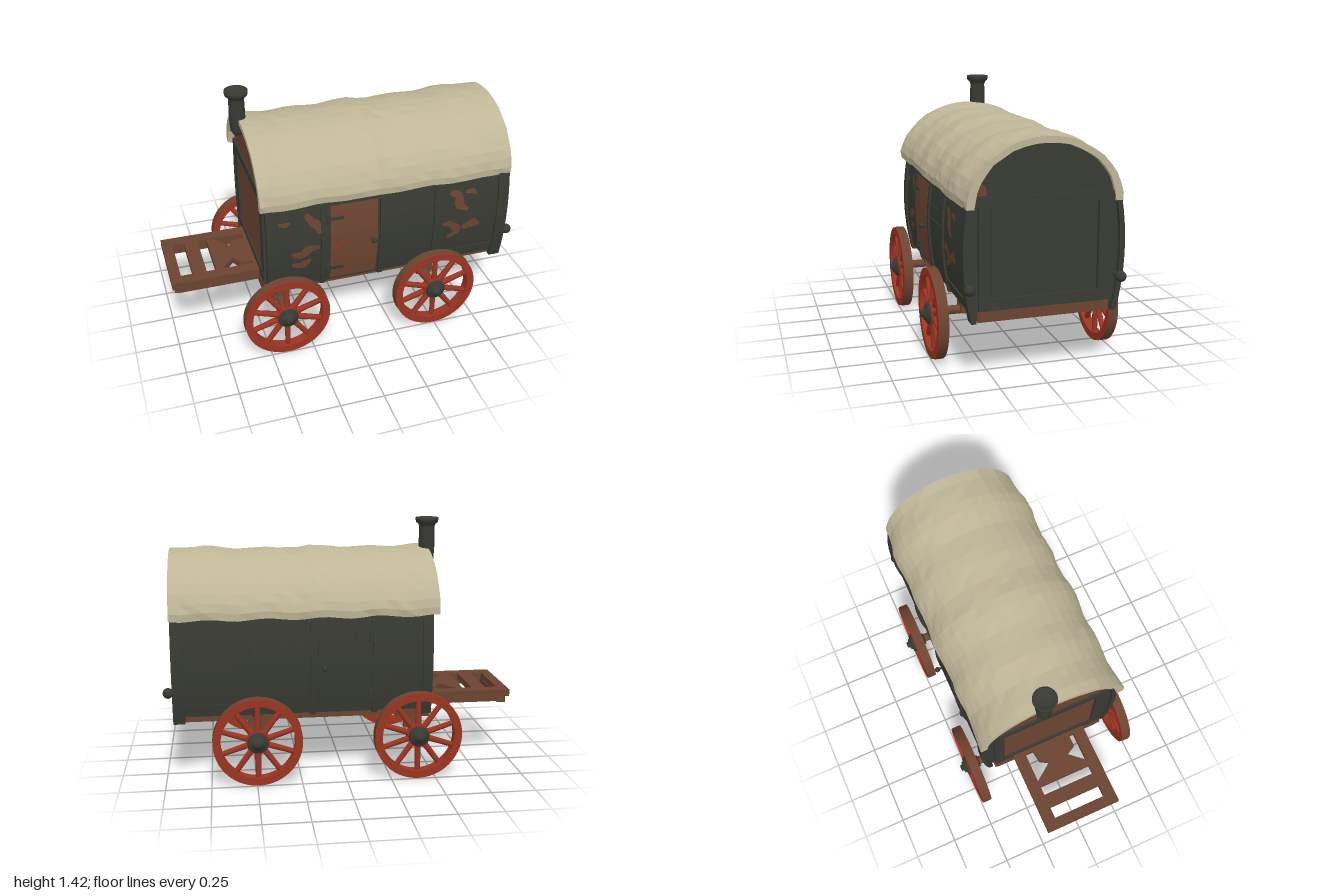
import * as THREE from 'three';

const mat = (name, color) => new THREE.MeshStandardMaterial({ name, color });

export function createModel() {
  const iron = mat('darkIron', 0x383a33), wood = mat('brownWood', 0x6c4431);
  const red = mat('redPaint', 0x9b3422), canvas = mat('canvas', 0xbfb697);
  canvas.side = THREE.DoubleSide;
  const model = new THREE.Group();
  model.name = 'wagon';

  const add = (name, geo, m, x = 0, y = 0, z = 0, parent = model) => {
    const mesh = new THREE.Mesh(geo, m);
    mesh.name = name;
    mesh.position.set(x, y, z);
    parent.add(mesh);
    return mesh;
  };
  const box = (name, m, x0, x1, y0, y1, z0, z1, parent) =>
    add(name, new THREE.BoxGeometry(x1 - x0, y1 - y0, z1 - z0), m, (x0 + x1) / 2, (y0 + y1) / 2, (z0 + z1) / 2, parent);
  const V2 = (x, y) => new THREE.Vector2(x, y);

  // Bulging side wall and arched top as functions
  const sideZ = y => 0.415 - 0.36 * (y - 0.68) ** 2;
  const arch = (t, rz, ry) => V2(rz * Math.cos(t), 0.93 + ry * Math.sign(Math.sin(t)) * Math.abs(Math.sin(t)) ** 1.12);

  // Extrudes a (z, y) outline along x
  const alongX = (pts, x0, x1) => {
    const g = new THREE.ExtrudeGeometry(new THREE.Shape(pts), { depth: x1 - x0, bevelEnabled: false });
    return g.rotateY(Math.PI / 2).translate(x0, 0, 0);
  };
  // Plate that follows the curve of one side wall
  const sidePlate = (name, m, s, x0, x1, y0, y1, out) => {
    const outer = [], inner = [];
    for (let i = 0; i <= 8; i++) {
      const y = y0 + (y1 - y0) * i / 8;
      outer.push(V2(-s * (sideZ(y) + out), y));
      inner.unshift(V2(-s * (sideZ(y) - 0.015), y));
    }
    return add(name, alongX([...outer, ...inner], x0, x1), m);
  };

  // Body shell
  const outline = [];
  for (let i = 0; i <= 10; i++) { const y = 0.38 + 0.54 * i / 10; outline.push(V2(sideZ(y), y)); }
  for (let i = 1; i < 24; i++) outline.push(arch(Math.PI * i / 24, 0.38, 0.3));
  for (let i = 10; i >= 0; i--) { const y = 0.38 + 0.54 * i / 10; outline.push(V2(-sideZ(y), y)); }
  add('body', alongX(outline, -0.475, 0.925), iron);

  // Side walls: ribs, rails, doors, hinges, knobs, corner posts
  for (const s of [1, -1]) {
    for (const x of [-0.165, 0.18, 0.505]) sidePlate('rib', iron, s, x - 0.015, x + 0.015, 0.37, 0.94, 0.012);
    sidePlate('topRail', iron, s, -0.47, 0.91, 0.895, 0.94, 0.012);
    sidePlate('bottomRail', iron, s, 0.52, 0.88, 0.42, 0.45, 0.008);
    sidePlate('plankSeam', iron, s, 0.2, 0.38, 0.79, 0.797, 0.005);
    sidePlate('plankSeam', iron, s, 0.2, 0.47, 0.71, 0.717, 0.005);
    sidePlate('sideDoor', s > 0 ? wood : iron, s, -0.125, 0.15, 0.4, 0.895, 0.009);
    for (const y of [0.48, 0.815]) {
      sidePlate('hinge', iron, s, -0.165, -0.05, y - 0.009, y + 0.009, 0.016);
      add('hingePin', new THREE.CylinderGeometry(0.013, 0.013, 0.06, 10), iron, -0.14, y, s * (sideZ(y) + 0.012));
    }
    const stem = add('knobStem', new THREE.CylinderGeometry(0.007, 0.007, 0.05, 8), iron, 0.12, 0.645, s * 0.43);
    stem.rotation.x = Math.PI / 2;
    add('knob', new THREE.SphereGeometry(0.016, 12, 8), iron, 0.12, 0.645, s * 0.45);
    sidePlate('cornerPost', iron, s, -0.49, -0.435, 0.35, 0.94, 0.012);
    sidePlate('cornerPost', iron, s, 0.885, 0.95, 0.34, 0.94, 0.012);

    // Round bosses on the corners at the plain end
    const boss = add('cornerBossStem', new THREE.CylinderGeometry(0.018, 0.022, 0.05, 14), iron, 0.945, 0.525, s * 0.4);
    boss.rotation.z = -Math.PI / 2;
    add('cornerBoss', new THREE.SphereGeometry(0.029, 14, 10), iron, 0.971, 0.525, s * 0.4);
  }

  // Worn paint on one side: tapered wavy strokes laid on the wall
  const stroke = (pts, w, m = wood, out = 0.006) => {
    const curve = new THREE.CatmullRomCurve3(pts.map(p => new THREE.Vector3(p[0], p[1], 0)));
    const a = [], b = [];
    for (let i = 0; i <= 20; i++) {
      const t = i / 20, p = curve.getPoint(t), d = curve.getTangent(t);
      const h = w * (0.4 + 0.6 * Math.sin(Math.PI * t)) * (1 + 0.12 * Math.sin(t * 13));
      a.push(V2(p.x - d.y * h, p.y + d.x * h));
      b.unshift(V2(p.x + d.y * h, p.y - d.x * h));
    }
    const g = new THREE.ShapeGeometry(new THREE.Shape([...a, ...b]));
    const pos = g.attributes.position;
    for (let i = 0; i < pos.count; i++) pos.setZ(i, sideZ(pos.getY(i)) + out);
    g.computeVertexNormals();
    add('wornPatch', g, m);
  };
  stroke([[-0.265, 0.865], [-0.235, 0.82], [-0.205, 0.79], [-0.19, 0.735]], 0.026);
  stroke([[-0.35, 0.62], [-0.29, 0.61], [-0.25, 0.64], [-0.19, 0.645]], 0.026);
  stroke([[-0.35, 0.55], [-0.29, 0.54], [-0.24, 0.57]], 0.022);
  stroke([[-0.42, 0.83], [-0.385, 0.82], [-0.355, 0.83]], 0.014);
  stroke([[0.585, 0.85], [0.635, 0.83], [0.65, 0.76], [0.7, 0.725]], 0.027);
  stroke([[0.55, 0.65], [0.6, 0.64], [0.64, 0.59], [0.58, 0.55]], 0.024);
  stroke([[0.67, 0.6], [0.73, 0.625], [0.78, 0.61]], 0.028);
  stroke([[0.68, 0.84], [0.72, 0.84], [0.75, 0.82]], 0.016);
  stroke([[-0.11, 0.61], [-0.08, 0.635], [-0.05, 0.66]], 0.01, red, 0.012);

  // End walls: framing around a door panel, with an arched gable board
  for (const [x, s, m] of [[0.925, 1, iron], [-0.475, -1, wood]]) {
    const end = new THREE.Group();
    end.name = s > 0 ? 'plainEnd' : 'entranceEnd';
    model.add(end);
    const slab = (name, mm, t, ...r) => box(name, mm, Math.min(x, x + s * t), Math.max(x, x + s * t), ...r, end);
    slab('endDoor', m, 0.009, 0.46, 0.92, -0.28, 0.28);
    for (const k of [1, -1]) {
      const a = k > 0 ? 0.285 : -0.345;
      slab('endPost', iron, 0.02, 0.4, 0.94, a, a + 0.06);
    }
    slab('endTopBeam', iron, 0.022, 0.925, 0.975, -0.37, 0.37);
    slab('endLowBeam', iron, 0.022, 0.4, 0.46, -0.345, 0.345);
    const gable = [];
    for (let i = 0; i <= 20; i++) gable.push(arch(0.09 + (Math.PI - 0.18) * i / 20, 0.375, 0.295));
    add('gableBoard', alongX(gable, Math.min(x, x + s * 0.009), Math.max(x, x + s * 0.009)), m, 0, 0, 0, end);
  }
  add('gableWear', alongX([V2(-0.355, 0.98), V2(-0.3, 0.985), V2(-0.31, 1.03), V2(-0.33, 1.045)], 0.934, 0.938), wood);

  // Canvas roof: closed shell of arched cross-sections sagging between hoops
  const nx = 24, na = 20, ring = 2 * (na + 1), pos = [], idx = [];
  const noise = (i, k) => { const v = Math.sin(i * 127.1 + k * 311.7) * 43758.5; return v - Math.floor(v) - 0.5; };
  for (let i = 0; i <= nx; i++) {
    const x = -0.52 + 1.475 * i / nx, w = 2 * Math.PI * (x - 0.12), tip = Math.max(0, (x - 0.7) / 0.255);
    const wave = 0.004 * Math.cos(w / 0.62) + 0.006 * Math.cos(w / 0.31);
    for (const layer of [0, 1]) for (let j = 0; j <= na; j++) {
      const k = layer ? na - j : j, t = -0.03 + (Math.PI + 0.06) * k / na;
      const flare = Math.abs(Math.cos(t)) ** 8, r = 0.006 * noise(i, k) - layer * 0.033;
      const p = arch(t, 0.43 + r + wave - 0.014 * tip - layer * 0.012 * flare, 0.328 + r + wave + 0.012 * tip);
      // Rolled lower edge
      const tuck = !layer && (k === 0 || k === na) ? 0.985 : 1;
      pos.push(x, p.y + 0.008 * flare * Math.cos(w / 0.31), p.x * tuck);
    }
  }
  for (let i = 0; i < nx; i++) for (let j = 0; j < ring; j++) {
    const a = i * ring + j, b = i * ring + (j + 1) % ring, c = a + ring, d = b + ring;
    idx.push(a, c, b, b, c, d);
  }
  for (let j = 0; j < na; j++) {
    const o = ring - 1 - j, e = nx * ring;
    idx.push(j, j + 1, o, j + 1, o - 1, o, e + j, e + o, e + j + 1, e + j + 1, e + o, e + o - 1);
  }
  let roof = new THREE.BufferGeometry();
  roof.setAttribute('position', new THREE.Float32BufferAttribute(pos, 3));
  roof.setIndex(idx);
  roof = roof.toNonIndexed();
  roof.computeVertexNormals();
  add('canvasRoof', roof, canvas);

  // Chimney
  const flue = [[0, 1.16], [0.03, 1.165], [0.042, 1.19], [0.046, 1.26], [0.044, 1.375], [0.05, 1.39], [0.062, 1.4],
    [0.066, 1.415], [0.066, 1.427], [0.055, 1.427], [0.04, 1.415], [0, 1.41]].map(p => V2(...p));
  add('chimney', new THREE.LatheGeometry(flue, 20), iron, -0.518, 0, -0.065);

  // Chassis floor and slatted platform
  box('chassisFloor', wood, -0.5, 0.935, 0.34, 0.4, -0.35, 0.35);
  const deck = new THREE.Shape([V2(-1, -0.23), V2(-0.45, -0.23), V2(-0.45, 0.23), V2(-1, 0.23)]);
  for (const h of [
    [[-0.94, -0.16], [-0.87, -0.16], [-0.87, 0.16], [-0.94, 0.16]],
    [[-0.79, -0.16], [-0.735, -0.16], [-0.735, 0.16], [-0.79, 0.16]],
    [[-0.7, 0.16], [-0.52, 0.16], [-0.52, 0.11], [-0.59, 0.1], [-0.62, 0.05]],
    [[-0.7, -0.16], [-0.52, -0.16], [-0.52, -0.13], [-0.59, -0.13], [-0.62, -0.07]],
  ]) deck.holes.push(new THREE.Path(h.map(p => V2(...p))));
  add('platform', new THREE.ExtrudeGeometry(deck, { depth: 0.04, bevelEnabled: false }).rotateX(-Math.PI / 2), wood, 0, 0.385, 0);
  for (const s of [1, -1]) {
    box('platformBeam', wood, -0.97, -0.3, 0.355, 0.39, s * 0.195 - 0.03, s * 0.195 + 0.03);
  }
  box('platformCrossbar', wood, -0.985, -0.935, 0.34, 0.39, -0.2, 0.2);

  // Wheels and axles
  const R = 0.249;
  const rimShape = new THREE.Shape().absarc(0, 0, R - 0.003, 0, 2 * Math.PI);
  rimShape.holes.push(new THREE.Path().absarc(0, 0, R - 0.045, 0, 2 * Math.PI, true));
  const rimGeo = new THREE.ExtrudeGeometry(rimShape, { depth: 0.056, bevelEnabled: false, curveSegments: 36 }).translate(0, 0, -0.028);
  const tyreGeo = new THREE.CylinderGeometry(R, R, 0.05, 40, 1, true).rotateX(Math.PI / 2);
  const spokeGeo = new THREE.CylinderGeometry(0.015, 0.018, 0.17, 8).translate(0, 0.13, 0);
  const hubProfile = [[0, -0.052], [0.035, -0.05], [0.04, -0.02], [0.058, -0.015], [0.058, 0.034], [0.05, 0.04],
    [0.036, 0.042], [0.034, 0.052], [0.02, 0.055], [0.018, 0.068], [0, 0.07]].map(p => V2(...p));
  const hubGeo = new THREE.LatheGeometry(hubProfile, 20).rotateX(Math.PI / 2);
  const collarGeo = new THREE.CylinderGeometry(0.065, 0.065, 0.046, 20).rotateX(Math.PI / 2);
  for (const x of [-0.4, 0.493]) {
    for (const s of [1, -1]) {
      const wheel = new THREE.Group();
      wheel.name = 'wheel';
      wheel.position.set(x, R + 0.005, s * 0.473);
      if (s < 0) wheel.rotation.y = Math.PI;
      model.add(wheel);
      add('rim', rimGeo, red, 0, 0, 0, wheel);
      add('tyre', tyreGeo, wood, 0, 0, 0, wheel);
      add('hub', hubGeo, iron, 0, 0, 0, wheel);
      add('hubCollar', collarGeo, red, 0, 0, 0, wheel);
      for (let i = 0; i < 10; i++) add('spoke', spokeGeo, red, 0, 0, 0, wheel).rotation.z = i * Math.PI / 5;

      // Spring blocks and iron straps carrying the body
      box('springBlock', wood, x - 0.05, x + 0.05, 0.25, 0.34, s * 0.31 - 0.018, s * 0.31 + 0.018);
      add('axleStrap', new THREE.TorusGeometry(0.03, 0.007, 6, 16), wood, x, 0.262, s * 0.28);
      box('bracket', iron, x + 0.02, x + 0.06, 0.31, 0.34, s * 0.22 - 0.03, s * 0.22 + 0.03);
    }
    add('axle', new THREE.CylinderGeometry(0.025, 0.025, 0.9, 10).rotateX(Math.PI / 2), wood, x, 0.26, 0);
    for (const k of [1, -1]) {
      const c = x + k * 0.075;
      box('bolster', wood, c - 0.022, c + 0.022, 0.315, 0.345, -0.33, 0.33);
    }
  }
  return model;
}
